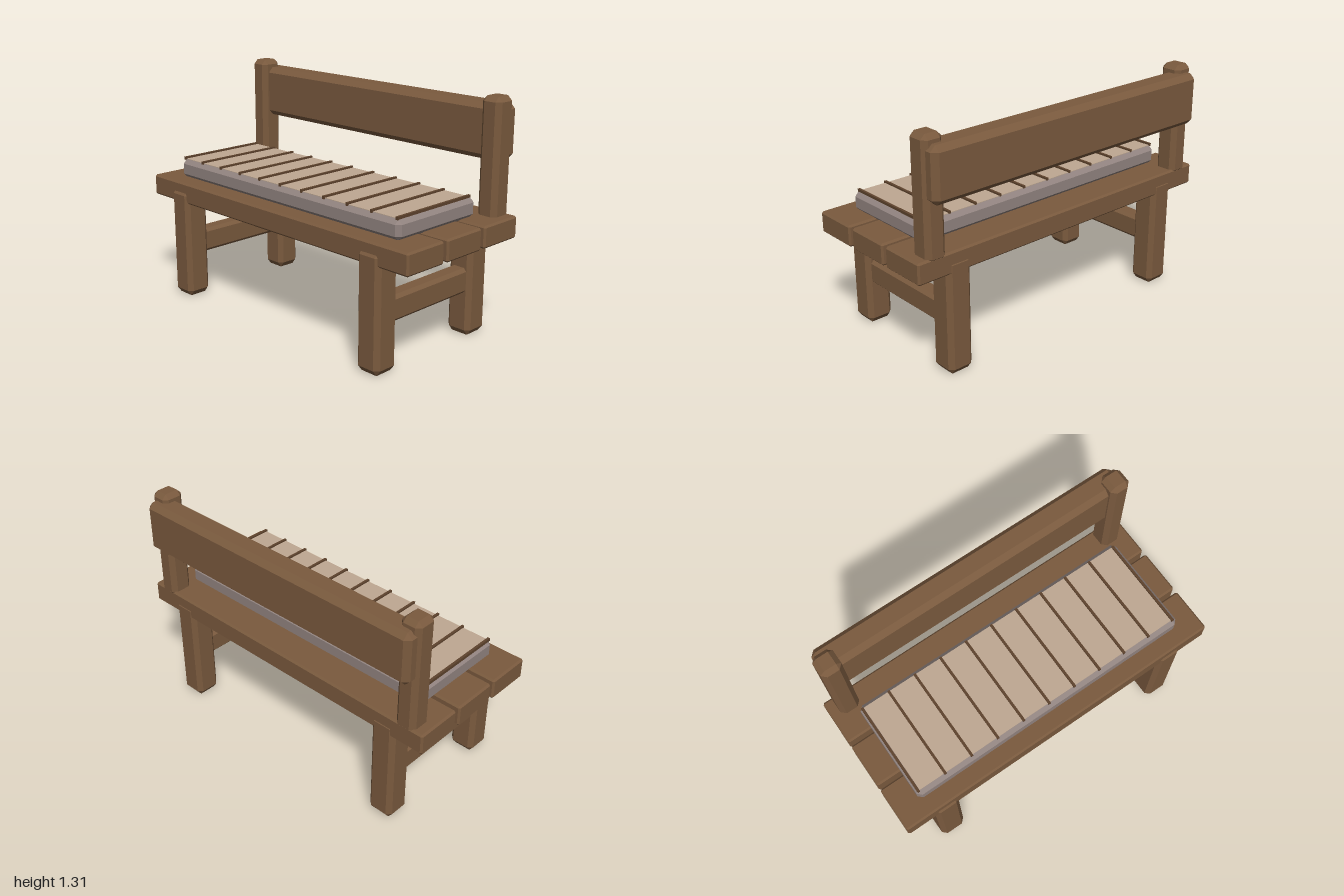
import * as THREE from 'three';
import { ConvexGeometry } from 'three/addons/geometries/ConvexGeometry.js';

// Box with chamfered edges and corners, given by its min/max on each axis.
function chamferBox([x0, x1], [y0, y1], [z0, z1], bx, by = bx, bz = bx) {
  const h = [(x1 - x0) / 2, (y1 - y0) / 2, (z1 - z0) / 2];
  const b = [bx, by, bz];
  const points = [];
  for (let axis = 0; axis < 3; axis++) {
    for (const sx of [-1, 1]) for (const sy of [-1, 1]) for (const sz of [-1, 1]) {
      const p = [sx, sy, sz].map((s, i) => s * (i === axis ? h[i] : h[i] - b[i]));
      points.push(new THREE.Vector3(...p));
    }
  }
  const geometry = new ConvexGeometry(points);
  geometry.translate((x0 + x1) / 2, (y0 + y1) / 2, (z0 + z1) / 2);
  return geometry;
}

function material(name, color) {
  const m = new THREE.MeshStandardMaterial({ color });
  m.name = name;
  return m;
}

export function createModel() {
  const wood = material('brown wood', 0x7a5a3e);
  const fabric = material('tan fabric', 0xbfa892);
  const fabricSide = material('grey fabric', 0x928480);
  const piping = material('dark brown piping', 0x5e432d);

  const bench = new THREE.Group();
  bench.name = 'bench';
  const add = (name, geometry, mat) => {
    const mesh = new THREE.Mesh(geometry, mat);
    mesh.name = name;
    bench.add(mesh);
  };

  // Three seat planks
  for (const z of [[0.185, 0.45], [-0.105, 0.16], [-0.4, -0.13]]) {
    add('seatPlank', chamferBox([-1, 1], [0.57, 0.69], z, 0.01), wood);
  }

  // Legs, stretchers and back posts on both sides
  for (const side of [-1, 1]) {
    const span = (centre, half) => [side * centre - half, side * centre + half];
    add('frontLeg', chamferBox(span(0.75, 0.075), [0, 0.65], [0.31, 0.46], 0.025, 0.033, 0.025), wood);
    add('backLeg', chamferBox(span(0.75, 0.075), [0, 0.65], [-0.403, -0.253], 0.025, 0.033, 0.025), wood);
    add('stretcher', chamferBox(span(0.75, 0.05), [0.245, 0.385], [-0.275, 0.335], 0.018), wood);
    add('backPost', chamferBox(span(0.885, 0.06), [0.66, 1.31], [-0.405, -0.275], 0.026), wood);
  }

  // Backrest board
  add('backrest', chamferBox([-0.93, 0.93], [0.97, 1.265], [-0.46, -0.31], 0.03), wood);

  // Cushion body and its top panel
  add('cushion', chamferBox([-0.857, 0.857], [0.685, 0.793], [-0.237, 0.357], 0.024), fabricSide);
  add('cushionTop', new THREE.BoxGeometry(1.666, 0.006, 0.546).translate(0, 0.793, 0.06), fabric);

  // Piping strips across the cushion
  for (let i = 0; i < 11; i++) {
    const x = -0.842 + i * 0.167;
    add('piping', new THREE.BoxGeometry(0.014, 0.017, 0.555).translate(x, 0.797, 0.0625), piping);
  }

  return bench;
}
